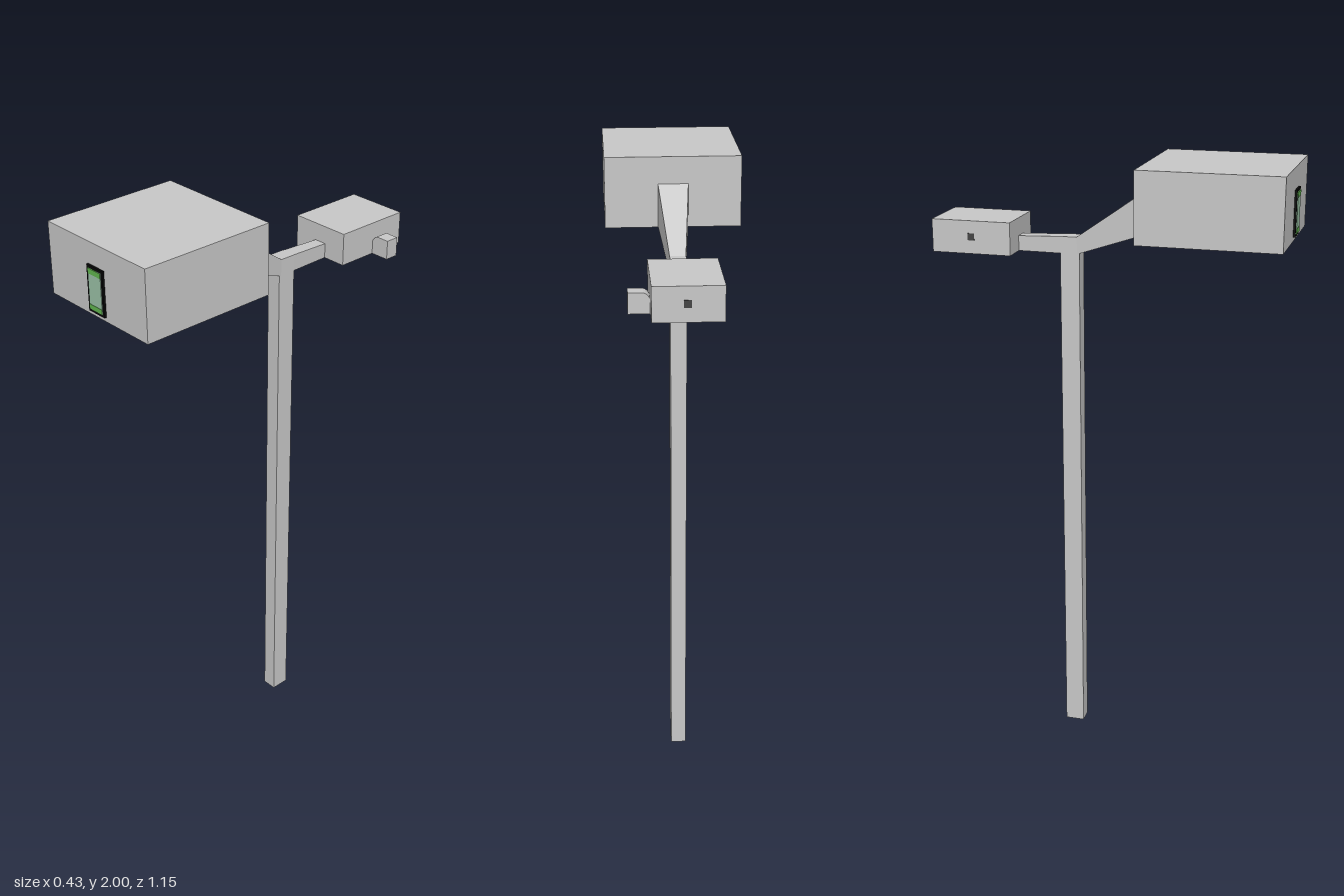
import * as THREE from 'three';

const paint = (name, color) => {
  const m = new THREE.MeshStandardMaterial({ color });
  m.name = name;
  return m;
};

export function createModel() {
  const grey = paint('body grey', 0xc8c8c8);
  const black = paint('frame black', 0x080808);
  const pale = paint('screen pale green', 0x9cc4a8);
  const green = paint('screen bright green', 0x62b850);
  const dark = paint('socket dark grey', 0x444444);

  const model = new THREE.Group();
  model.name = 'postSign';

  const add = (name, geometry, material) => {
    const mesh = new THREE.Mesh(geometry, material);
    mesh.name = name;
    model.add(mesh);
    return mesh;
  };

  // Box given by its limits on each axis
  const box = (name, [x0, x1], [y0, y1], [z0, z1], material = grey) => {
    const g = new THREE.BoxGeometry(x1 - x0, y1 - y0, z1 - z0);
    g.translate((x0 + x1) / 2, (y0 + y1) / 2, (z0 + z1) / 2);
    return add(name, g, material);
  };

  // Beam along z between two end rectangles {z, w: half width, y0, y1}
  const beam = (name, back, front) => {
    const g = new THREE.BoxGeometry(2, 2, 2).toNonIndexed();
    const p = g.attributes.position;
    for (let i = 0; i < p.count; i++) {
      const end = p.getZ(i) > 0 ? front : back;
      p.setXYZ(i, p.getX(i) * end.w, p.getY(i) > 0 ? end.y1 : end.y0, end.z);
    }
    g.computeVertexNormals();
    return add(name, g, grey);
  };

  // Post and the two arms at its top
  box('post', [-0.025, 0.025], [0, 1.72], [-0.175, -0.112]);
  beam('postCap', { z: -0.175, w: 0.025, y0: 1.695, y1: 1.749 }, { z: -0.118, w: 0.025, y0: 1.695, y1: 1.75 });
  beam('frontArm', { z: -0.12, w: 0.025, y0: 1.695, y1: 1.75 }, { z: 0.116, w: 0.048, y0: 1.777, y1: 1.915 });
  beam('rearArm', { z: -0.316, w: 0.021, y0: 1.695, y1: 1.743 }, { z: -0.17, w: 0.024, y0: 1.695, y1: 1.749 });

  // Large front housing and small rear housing
  box('frontHousing', [-0.216, 0.216], [1.776, 2], [0.115, 0.565]);
  box('rearHousing', [-0.105, 0.101], [1.695, 1.8], [-0.575, -0.315]);

  // Side knob, rounded where it meets the rear housing
  const s = new THREE.Shape();
  s.moveTo(0.1, 1.695);
  s.lineTo(0.164, 1.695);
  s.lineTo(0.164, 1.757);
  s.lineTo(0.12, 1.757);
  s.quadraticCurveTo(0.108, 1.755, 0.1, 1.738);
  const knob = new THREE.ExtrudeGeometry(s, { depth: 0.045, bevelEnabled: false, curveSegments: 4 });
  knob.translate(0, 0, -0.495);
  add('sideKnob', knob, grey);

  // Small sockets on the rear housing and under the post
  box('rearSocket', [-0.011, 0.011], [1.738, 1.76], [-0.577, -0.574], dark);
  box('sideSocket', [-0.107, -0.104], [1.738, 1.76], [-0.456, -0.434], dark);
  box('baseSocket', [-0.012, 0.012], [0, 0.003], [-0.157, -0.131], dark).position.y = -0.001;

  // Screen: black frame, pale panel, brighter bands at both ends
  box('screenFrame', [-0.035, 0.035], [1.79, 1.932], [0.565, 0.572], black);
  box('screenPanel', [-0.028, 0.028], [1.798, 1.924], [0.571, 0.574], pale);
  for (const y of [1.798, 1.908]) box('screenBand', [-0.028, 0.028], [y, y + 0.016], [0.572, 0.575], green);

  return model;
}
